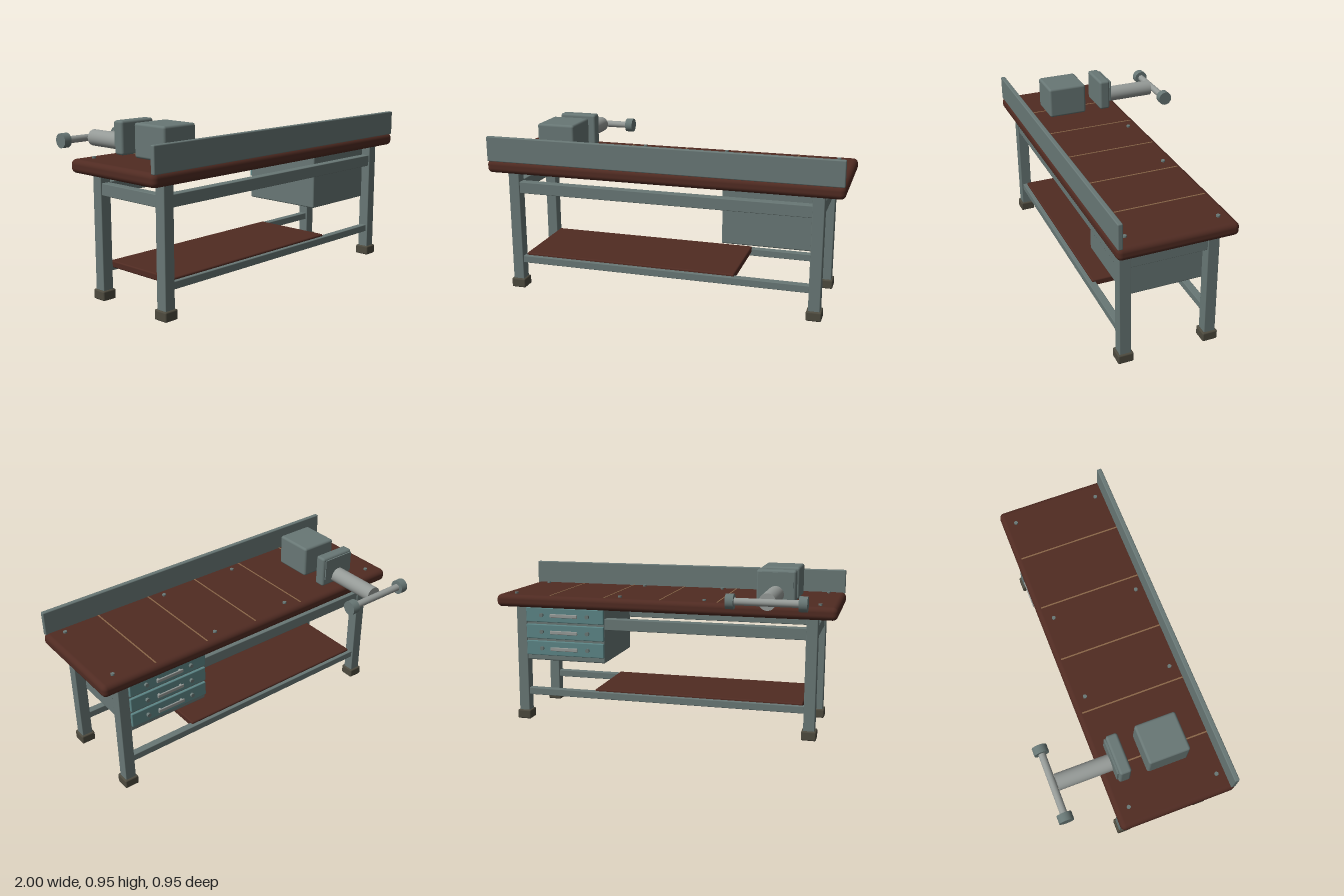
import * as THREE from 'three';
import { RoundedBoxGeometry } from 'three/addons/geometries/RoundedBoxGeometry.js';

const material = (name, color) => {
  const m = new THREE.MeshStandardMaterial({ color });
  m.name = name;
  return m;
};

export function createModel() {
  const slate = material('slate paint', 0x687775);
  const wood = material('dark red wood', 0x502b22);
  const rubber = material('foot rubber', 0x4d4a3e);
  const teal = material('teal drawer paint', 0x5c8586);
  const steel = material('bare steel', 0x959a97);
  const seam = material('tan seam', 0x8a6648);

  const model = new THREE.Group();
  model.name = 'workbench';
  const group = (name) => {
    const g = new THREE.Group();
    g.name = name;
    model.add(g);
    return g;
  };

  // Box given by its extents on each axis, with optional rounded edges
  const box = (parent, name, mat, [x0, x1], [y0, y1], [z0, z1], r = 0.004, seg = 1) => {
    const size = [x1 - x0, y1 - y0, z1 - z0];
    const geo = r > 0 ? new RoundedBoxGeometry(...size, seg, r) : new THREE.BoxGeometry(...size);
    const mesh = new THREE.Mesh(geo, mat);
    mesh.name = name;
    mesh.position.set((x0 + x1) / 2, (y0 + y1) / 2, (z0 + z1) / 2);
    parent.add(mesh);
    return mesh;
  };

  // Cylinder centred on a point, lying along the chosen axis
  const rod = (parent, name, mat, radius, length, axis, pos, sides = 24) => {
    const mesh = new THREE.Mesh(new THREE.CylinderGeometry(radius, radius, length, sides), mat);
    mesh.name = name;
    if (axis === 'x') mesh.rotation.z = Math.PI / 2;
    if (axis === 'z') mesh.rotation.x = Math.PI / 2;
    mesh.position.set(...pos);
    parent.add(mesh);
    return mesh;
  };

  // Worktop with plank seams, bolts and upstand
  const top = group('worktop');
  box(top, 'topSlab', wood, [-1, 1], [0.692, 0.765], [-0.175, 0.475], 0.028, 4);
  box(top, 'upstand', slate, [-0.995, 0.995], [0.758, 0.9], [0.445, 0.472], 0.006, 2);
  for (let i = -2; i <= 2; i++) {
    const x = i / 3;
    box(top, 'plankSeam', seam, [x - 0.004, x + 0.004], [0.762, 0.7665], [-0.147, 0.445], 0);
  }
  for (const x of [-0.9, -0.25, 0.25, 0.9]) {
    for (const z of [-0.1, 0.4]) rod(top, 'topBolt', slate, 0.011, 0.012, 'y', [x, 0.768, z], 12);
  }

  // Frame: four legs with feet, long rails and short upper rails
  const frame = group('frame');
  for (const s of [-1, 1]) {
    for (const z of [-0.091, 0.393]) {
      const x = s * 0.861;
      box(frame, 'leg', slate, [x - 0.032, x + 0.032], [0.03, 0.7], [z - 0.032, z + 0.032]);
      box(frame, 'foot', rubber, [x - 0.042, x + 0.042], [0, 0.054], [z - 0.043, z + 0.043], 0.008, 2);
    }
    box(frame, 'sideRail', slate, [s * 0.861 - 0.025, s * 0.861 + 0.025], [0.57, 0.636], [-0.07, 0.37]);
  }
  for (const z of [-0.091, 0.393]) {
    box(frame, 'upperRail', slate, [-0.84, 0.84], [0.57, 0.636], [z - 0.025, z + 0.025]);
    box(frame, 'lowerRail', slate, [-0.84, 0.84], [0.15, 0.192], [z - 0.021, z + 0.021]);
  }
  box(frame, 'shelf', wood, [-0.82, 0.415], [0.166, 0.204], [-0.09, 0.392], 0.008, 2);

  // Drawer cabinet, drawers open toward the back
  const cabinet = group('drawerCabinet');
  box(cabinet, 'cabinetBody', slate, [0.34, 0.832], [0.37, 0.695], [-0.12, 0.372], 0.008, 2);
  for (const y of [0.446, 0.546, 0.646]) {
    box(cabinet, 'drawerFront', teal, [0.343, 0.828], [y - 0.043, y + 0.043], [-0.134, -0.115], 0.005, 2);
    box(cabinet, 'drawerHandle', steel, [0.5, 0.67], [y - 0.011, y + 0.011], [-0.154, -0.145], 0.004, 2);
    for (const s of [-1, 1]) {
      rod(cabinet, 'handlePost', steel, 0.008, 0.02, 'z', [0.585 + s * 0.07, y, -0.14], 12);
      rod(cabinet, 'drawerStud', slate, 0.012, 0.018, 'z', [0.585 + s * 0.143, y, -0.139], 16);
    }
  }

  // Vise with fixed block, moving jaw, screw and cross handle
  const vise = group('vise');
  const cx = -0.654;
  box(vise, 'fixedJaw', slate, [cx - 0.11, cx + 0.11], [0.768, 0.951], [0.06, 0.291], 0.014, 3);
  box(vise, 'movingJaw', slate, [cx - 0.11, cx + 0.11], [0.768, 0.951], [-0.1, -0.035], 0.014, 3);
  box(vise, 'jawPlate', slate, [cx - 0.098, cx + 0.098], [0.815, 0.94], [-0.112, -0.104], 0);
  box(vise, 'plateSpacer', slate, [cx - 0.08, cx + 0.08], [0.83, 0.925], [-0.105, -0.098], 0);
  rod(vise, 'screw', steel, 0.046, 0.32, 'z', [cx, 0.819, -0.25], 32);
  rod(vise, 'handleBar', steel, 0.02, 0.38, 'x', [cx, 0.819, -0.432]);
  for (const s of [-1, 1]) {
    rod(vise, 'handleCap', slate, 0.041, 0.044, 'x', [cx + s * 0.191, 0.819, -0.432], 32);
  }

  return model;
}
